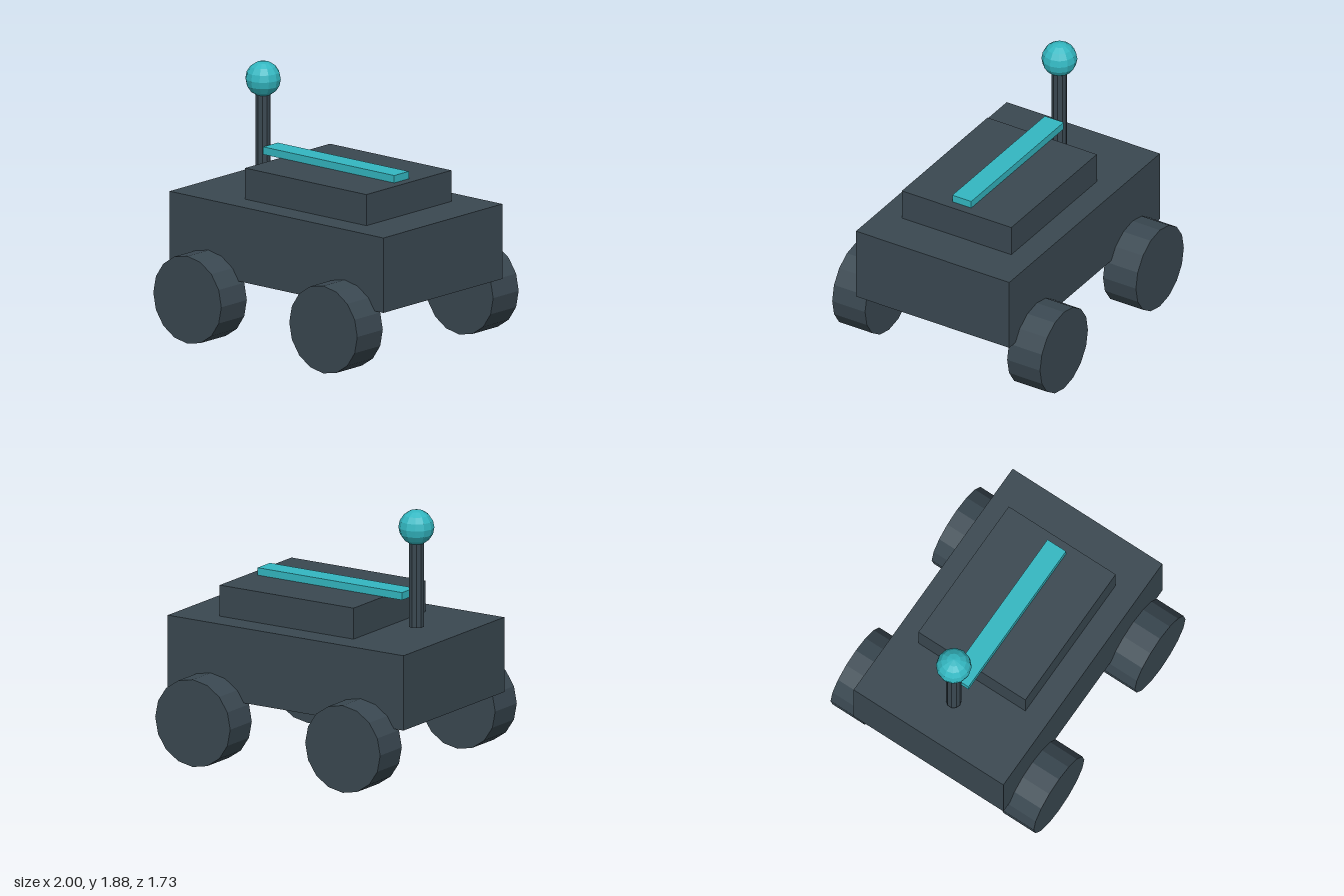
import * as THREE from 'three';

export function createModel() {
  const model = new THREE.Group();
  model.name = 'rover';

  const slate = new THREE.MeshStandardMaterial({ color: 0x3a4851, flatShading: true });
  slate.name = 'dark slate';
  const teal = new THREE.MeshStandardMaterial({ color: 0x33b7c1, flatShading: true });
  teal.name = 'teal';

  const add = (name, geometry, material, x, y, z) => {
    const mesh = new THREE.Mesh(geometry, material);
    mesh.name = name;
    mesh.position.set(x, y, z);
    model.add(mesh);
    return mesh;
  };

  // Hull, raised deck and light strip (overhanging the deck at one end)
  add('hull', new THREE.BoxGeometry(2, 0.545, 1.273), slate, 0, 0.73, 0);
  add('deck', new THREE.BoxGeometry(1.136, 0.227, 0.909), slate, 0.114, 1.115, 0);
  add('lightStrip', new THREE.BoxGeometry(1.227, 0.055, 0.157), teal, 0, 1.255, 0);

  // Mast and beacon
  add('mast', new THREE.CylinderGeometry(0.0545, 0.0545, 0.636, 10), slate, -0.682, 1.348, 0);
  add('beacon', new THREE.SphereGeometry(0.127, 12, 8), teal, -0.682, 1.753, 0);

  // Four wheels, axles along z
  const wheel = new THREE.CylinderGeometry(0.318, 0.318, 0.273, 16).rotateX(Math.PI / 2);
  for (const [side, x] of [['Right', -0.636], ['Left', 0.636]]) {
    for (const [end, z] of [['front', 0.727], ['back', -0.727]]) {
      add(`${end}${side}Wheel`, wheel, slate, x, 0.318, z);
    }
  }

  return model;
}
